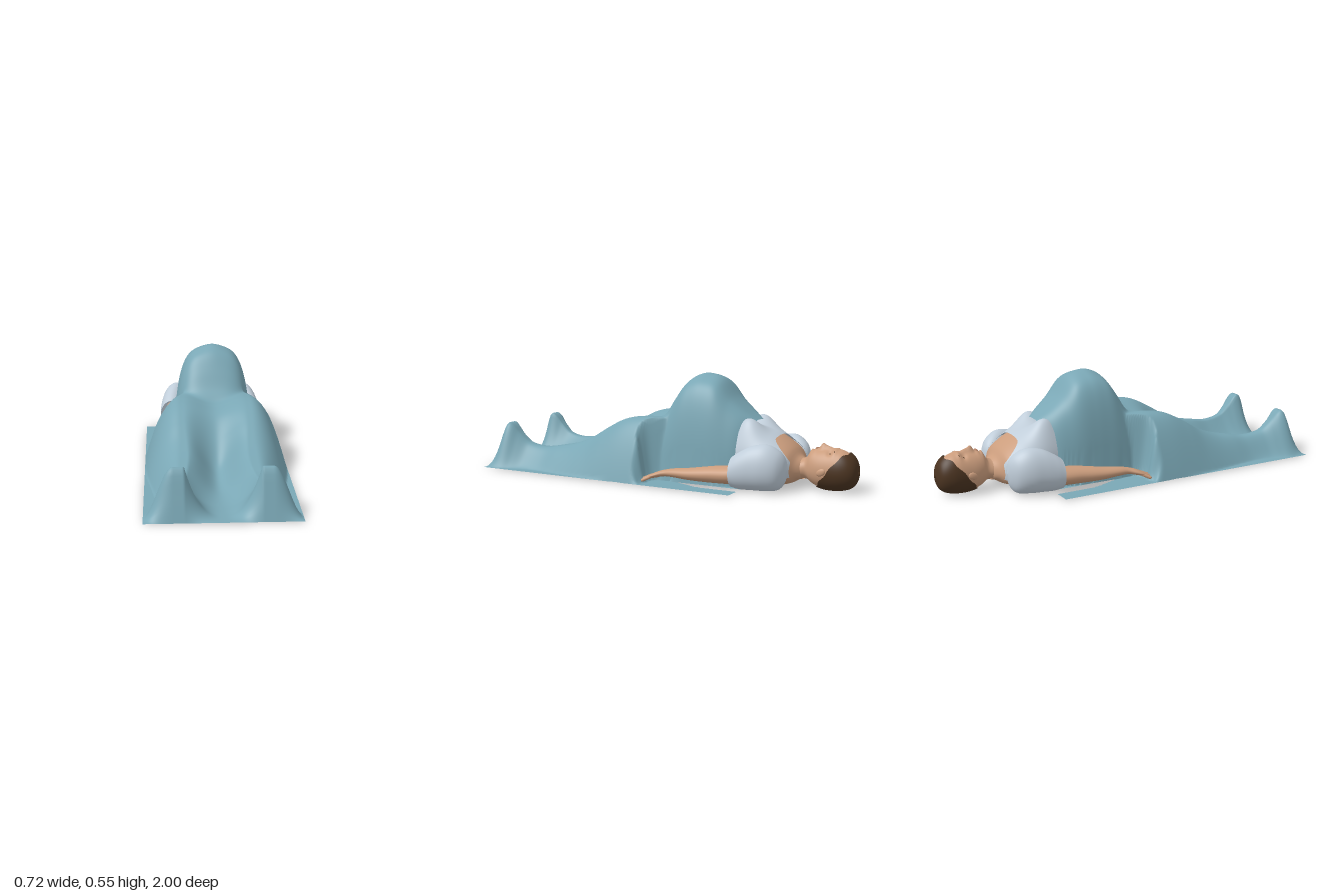
import * as THREE from 'three';

const mat = (name, color, side = THREE.FrontSide) => {
  const m = new THREE.MeshStandardMaterial({ color, side });
  m.name = name;
  return m;
};
const { clamp, smoothstep, lerp } = THREE.MathUtils;

// Smooth lookup in a table whose first column is the (rising) station z
function at(table, z) {
  const n = table.length;
  z = clamp(z, table[0][0], table[n - 1][0]);
  let i = 0;
  while (i < n - 2 && z > table[i + 1][0]) i++;
  const p = table[i], q = table[i + 1], h = q[0] - p[0], t = (z - p[0]) / h;
  const o = table[Math.max(i - 1, 0)], r = table[Math.min(i + 2, n - 1)];
  return p.map((v, c) => {
    const m0 = (q[c] - o[c]) / (q[0] - o[0]) * h, m1 = (r[c] - v) / (r[0] - p[0]) * h;
    return v * (1 + 2 * t) * (1 - t) ** 2 + m0 * t * (1 - t) ** 2
      + q[c] * t * t * (3 - 2 * t) + m1 * t * t * (t - 1);
  });
}

// Grid surface from point(u, v); closed joins the last column to the first,
// hole(x, z) leaves out the squares starting there
function surface(rows, cols, closed, point, hole = () => false) {
  const pos = [], idx = [], n = closed ? cols : cols + 1;
  for (let i = 0; i <= rows; i++)
    for (let j = 0; j < n; j++) pos.push(...point(i / rows, j / cols));
  for (let i = 0; i < rows; i++)
    for (let j = 0; j < cols; j++) {
      const a = i * n + j, b = i * n + (j + 1) % n, c = a + n, d = b + n;
      if (!hole((pos[a * 3] + pos[b * 3]) / 2, pos[a * 3 + 2])) idx.push(a, b, c, b, d, c);
    }
  const g = new THREE.BufferGeometry();
  g.setAttribute('position', new THREE.Float32BufferAttribute(pos, 3));
  g.setIndex(idx);
  g.computeVertexNormals();
  return g;
}

// Body skin along z; table rows are [z, cx, cy, rx, height up, height down]
function loft(table, { a0 = 0, a1 = Math.PI * 2, rows = 40, cols = 40, grow = 0, shift = 0,
  start = () => table[0][0], end = () => table[table.length - 1][0], bump = () => 0 } = {}) {
  return surface(rows, cols, a1 - a0 > 6.28, (u, v) => {
    const a = lerp(a0, a1, v), c = Math.cos(a), s = Math.sin(a);
    const z = lerp(start(a), end(a), (1 - Math.cos(Math.PI * u)) / 2);
    const [, cx, cy, rx, up, down] = at(table, z);
    const x = cx + (Math.max(rx, 0) + grow) * c;
    const y = cy + (Math.max(s > 0 ? up : down, 0) + grow) * s;
    return [x, y + (s > 0 ? bump(x, z) : 0), z + shift];
  });
}
const hill = (x, z, cx, cz, sx, sz) => Math.exp(-(((x - cx) / sx) ** 2) - ((z - cz) / sz) ** 2);

// Legs: [z, height, leg x, flat half width, outer edge x, valley height, fullness]
const LEGS = [
  [-.1, .315, .165, .01, .36, .29, 1], [0, .318, .165, .01, .36, .285, 1], [.1, .318, .17, .01, .36, .28, 1],
  [.2, .3, .17, .01, .36, .25, 1], [.3, .25, .17, .01, .355, .16, 1], [.4, .19, .165, .015, .345, .06, .95],
  [.5, .15, .165, .02, .33, .025, .85], [.6, .128, .17, .02, .315, .01, .7], [.7, .113, .18, .015, .305, .004, .45],
  [.8, .13, .19, .012, .315, 0, .2], [.86, .18, .197, .016, .335, 0, .1], [.9, .225, .2, .025, .35, 0, 0],
  [.93, .226, .2, .025, .355, 0, 0], [.965, .12, .2, .025, .358, 0, 0], [1, 0, .2, .025, .36, 0, 0]];
// Belly: [z, height, half width]
const BELLY = [
  [-.475, .32, .115], [-.42, .36, .165], [-.35, .42, .19], [-.28, .5, .202], [-.2, .519, .205],
  [-.15, .515, .205], [-.1, .492, .205], [-.05, .425, .202], [0, .345, .197], [.04, .3, .19], [.1, .2, .18]];

function blanketHeight(x, z) {
  const ax = Math.abs(x);
  let legs = 0, belly = 0;
  if (z > -.12) {
    const [, h, cx, f, out, v, k] = at(LEGS, z);
    if (ax > cx) {
      const u = clamp((ax - cx - f) / (out - cx - f), 0, 1);
      legs = h * lerp(1 - smoothstep(u, 0, 1), 1 - u ** 2.1, Math.max(k, .2));
    } else {
      const u = clamp((cx - f - ax) / (cx - f), 0, 1);
      legs = lerp(Math.min(v, h), h, lerp((1 - u) ** 2.7, 1 - smoothstep(u, 0, 1), k));
    }
    // Hip drops away beside the belly in loose folds
    const edge = lerp(-.1, .025, smoothstep(ax, .14, .24));
    legs *= smoothstep(z + .005 * Math.sin(ax * 90) * smoothstep(ax, .2, .25), edge, edge + .06);
  }
  if (z < .1) {
    const [, h, w] = at(BELLY, z);
    belly = (h + .022 * hill(x, z, 0, -.19, .065, .13)) * Math.sqrt(Math.max(0, 1 - (ax / w) ** 4));
  }
  // Soft maximum blends the belly into the lap
  const d = legs - belly;
  return .004 + (legs + belly + Math.sqrt(d * d + .0004 * Math.min(1, legs * belly * 12))) / 2;
}

const TORSO = [
  [-.72, 0, .09, .06, .055, .045], [-.695, 0, .095, .1, .068, .055], [-.67, 0, .1, .155, .098, .075],
  [-.62, 0, .105, .182, .132, .095], [-.57, 0, .11, .188, .155, .1], [-.5, 0, .12, .18, .165, .105],
  [-.42, 0, .13, .165, .155, .105]];
const HEAD = [
  [-.993, 0, .1, 0, 0, 0], [-.985, 0, .1, .035, .04, .04], [-.965, 0, .1, .06, .074, .068],
  [-.93, 0, .1, .076, .1, .084], [-.89, 0, .1, .081, .109, .091], [-.84, 0, .1, .079, .104, .092],
  [-.8, 0, .1, .074, .1, .086], [-.765, 0, .1, .064, .096, .07], [-.75, 0, .1, .057, .08, .058],
  [-.735, 0, .1, .057, .058, .052], [-.7, 0, .095, .068, .052, .048], [-.67, 0, .09, .085, .05, .05]];
const ARM = [
  [-.55, .2, .085, .05, .05, .05], [-.42, .21, .075, .065, .044, .048], [-.33, .22, .07, .059, .04, .044],
  [-.27, .232, .066, .052, .036, .038], [-.2, .245, .063, .043, .029, .031], [-.12, .256, .062, .033, .022, .022],
  [-.075, .26, .058, .028, .017, .017], [-.04, .267, .05, .036, .015, .015], [-.01, .272, .04, .038, .012, .012],
  [.008, .275, .034, .028, .007, .009], [.012, .275, .033, 0, 0, 0]];
const SLEEVE = [
  [-.69, .155, .11, 0, 0, 0], [-.682, .158, .11, .032, .05, .055], [-.655, .168, .11, .064, .092, .095],
  [-.6, .184, .11, .077, .122, .104], [-.53, .2, .105, .074, .12, .099], [-.47, .212, .095, .068, .1, .088],
  [-.43, .216, .088, .064, .08, .074]];

export function createModel() {
  const model = new THREE.Group();
  const skin = mat('skin', 0xcb9d7d, THREE.DoubleSide);
  const hair = mat('hair brown', 0x4b3421, THREE.DoubleSide);
  const cloth = mat('blanket blue', 0x7aa7b5, THREE.DoubleSide);
  const white = mat('shirt pale blue', 0xc0cdd9, THREE.DoubleSide);
  const lip = mat('lip', 0xb07e66);
  const add = (name, geo, material, parent = model) => {
    const m = new THREE.Mesh(geo, material);
    m.name = name;
    parent.add(m);
    return m;
  };
  const blob = (name, material, p, s, parent) => {
    const m = add(name, new THREE.SphereGeometry(1, 16, 12), material, parent);
    m.position.set(...p);
    m.scale.set(...s);
    return m;
  };

  // Draped blanket, open along a slot under each arm
  const slot = (x, z) => {
    const ax = Math.abs(x);
    return ax > .207 && ax < lerp(.268, .2, smoothstep(z, -.28, -.05));
  };
  add('blanket', surface(150, 120, false, (u, v) => {
    const x = lerp(-.36, .36, v), z = lerp(1, -.475, u);
    return [x, blanketHeight(x, z), z];
  }, slot), cloth);

  // Torso and shirt with a scooped neckline
  add('torso', loft(TORSO), skin);
  const chest = (x, z) => .07 * hill(Math.abs(x), z, .1, -.455, .062, .075);
  add('shirt', loft(TORSO, {
    a0: -.45, a1: Math.PI + .45, cols: 72, rows: 36, grow: .007,
    start: a => -.597 - .09 * smoothstep(Math.abs(Math.cos(a)), .4, .88), bump: chest
  }), white);

  // Head and neck with modelled face
  const face = (x, z) => {
    const ax = Math.abs(x);
    return .024 * hill(x, z, 0, -.815, .013, .016) + .016 * hill(x, z, 0, -.84, .011, .026)
      - .011 * hill(ax, z, .034, -.862, .017, .014) + .006 * hill(ax, z, .03, -.888, .025, .01)
      + .007 * hill(x, z, 0, -.785, .022, .01) + .008 * hill(x, z, 0, -.758, .02, .009)
      - .005 * hill(x, z, 0, -.77, .025, .006);
  };
  add('head', loft(HEAD, { rows: 90, cols: 72, bump: face }), skin);
  add('hair', loft(HEAD, {
    rows: 30, cols: 60, grow: .007, shift: -.007,
    end: a => -.785 - .165 * ((1 + Math.sin(a)) / 2) ** 1.2 + .004 * Math.sin(a * 9)
  }), hair);
  blob('lips', lip, [0, .206, -.785], [.02, .003, .006]);

  // Paired parts, mirrored across x
  for (const side of [1, -1]) {
    const g = new THREE.Group();
    g.name = side > 0 ? 'leftSide' : 'rightSide';
    g.scale.x = side;
    model.add(g);
    add('sleeve', loft(SLEEVE, { rows: 30 }), white, g);
    add('arm', loft(ARM, { rows: 50, cols: 28 }), skin, g);
    blob('ear', skin, [.081, .1, -.835], [.008, .017, .025], g).rotation.x = .5;
    blob('eyebrow', hair, [.034, .2, -.889], [.016, .003, .002], g);
    blob('eye', hair, [.034, .187, -.864], [.01, .003, .0025], g);

    // Fingers, then the thumb: start and tip
    const digits = [
      [[.25, .04, -.005], [.243, .022, .033]], [[.267, .04, 0], [.268, .022, .041]],
      [[.284, .039, 0], [.294, .022, .038]], [[.3, .038, -.01], [.317, .021, .025]],
      [[.247, .046, -.045], [.214, .026, .004]]];
    digits.forEach(([a, b], i) => {
      const p = new THREE.Vector3(...a), q = new THREE.Vector3(...b), d = q.clone().sub(p);
      const m = add(i < 4 ? 'finger' : 'thumb', new THREE.CapsuleGeometry(.0085, d.length(), 4, 10), skin, g);
      m.position.copy(p).lerp(q, .5);
      m.quaternion.setFromUnitVectors(new THREE.Vector3(0, 1, 0), d.normalize());
    });
  }
  return model;
}
